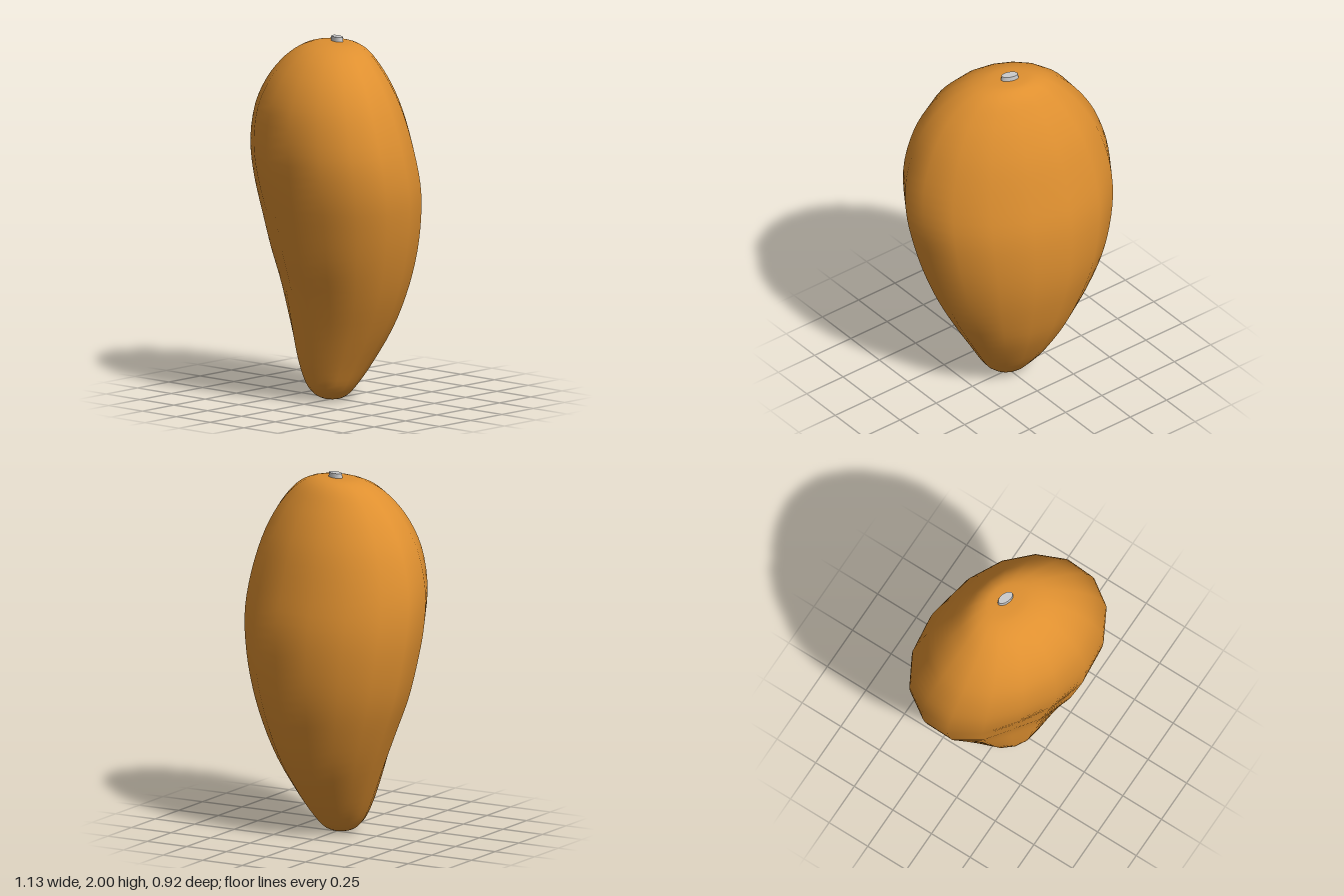
import * as THREE from 'three';

const TURN = THREE.MathUtils.degToRad(19); // long axis turned from +x towards +z
const SIDES = 16;
const ROWS = 54;
const FACET = 1.014; // makes up for the width lost between the sides

// Cross-sections from tip to crown: y, half width in x, half depth in z, centre x, centre z
const SECTIONS = [
  [0.005, 0, 0, -0.005, 0.025],
  [0.012, 0.055, 0.05, -0.006, 0.025],
  [0.035, 0.1, 0.092, -0.008, 0.025],
  [0.09, 0.148, 0.138, -0.008, 0.02],
  [0.2, 0.212, 0.197, -0.005, -0.003],
  [0.4, 0.318, 0.278, 0.005, -0.033],
  [0.6, 0.412, 0.342, 0.008, -0.04],
  [0.8, 0.488, 0.398, 0.003, -0.033],
  [1.0, 0.538, 0.43, 0.002, -0.02],
  [1.2, 0.565, 0.445, 0, 0.002],
  [1.4, 0.553, 0.43, -0.005, 0.028],
  [1.6, 0.495, 0.388, -0.007, 0.042],
  [1.75, 0.415, 0.326, -0.003, 0.045],
  [1.86, 0.323, 0.254, 0, 0.037],
  [1.93, 0.235, 0.185, 0, 0.02],
  [1.965, 0.15, 0.118, 0, 0.003],
  [1.974, 0.075, 0.06, 0, -0.006],
  [1.975, 0, 0, 0, -0.01],
];

// Fruit skin: turned ellipses stacked along the sections, with a shallow hollow on one side
function fruitGeometry() {
  const size = new THREE.CatmullRomCurve3(
    SECTIONS.map(([y, w, d]) => new THREE.Vector3(w, y, d)), false, 'catmullrom', 0.5);
  const centre = new THREE.CatmullRomCurve3(
    SECTIONS.map(([y, , , x, z]) => new THREE.Vector3(x, y, z)), false, 'catmullrom', 0.5);
  const positions = [];
  const index = [];
  const c = Math.cos(TURN), s = Math.sin(TURN);

  for (let r = 1; r < ROWS; r++) {
    const half = size.getPoint(r / ROWS);
    const mid = centre.getPoint(r / ROWS);
    const mean = (half.x ** 2 + half.z ** 2) / 2;
    const diff = (half.x ** 2 - half.z ** 2) / 2 / Math.cos(2 * TURN);
    const a = FACET * Math.sqrt(mean + diff), b = FACET * Math.sqrt(mean - diff);
    const rise = half.y - 0.75;
    const hollow = 0.17 * Math.exp(-((rise / (rise < 0 ? 0.4 : 0.6)) ** 2));
    for (let i = 0; i < SIDES; i++) {
      const t = (i / SIDES) * Math.PI * 2;
      const off = (t - Math.PI * 0.615) / 0.56;
      const k = 1 - hollow * Math.exp(-off * off);
      const u = a * k * Math.cos(t), v = b * k * Math.sin(t);
      positions.push(mid.x + u * c - v * s, half.y, mid.z + u * s + v * c);
    }
  }
  const tip = positions.length / 3, crown = tip + 1;
  for (const p of [SECTIONS[0], SECTIONS[SECTIONS.length - 1]]) positions.push(p[3], p[0], p[4]);

  const last = (ROWS - 2) * SIDES;
  for (let i = 0; i < SIDES; i++) {
    const j = (i + 1) % SIDES;
    index.push(tip, i, j, crown, last + j, last + i);
    for (let r = 0; r < ROWS - 2; r++) {
      const lo = r * SIDES, hi = lo + SIDES;
      index.push(lo + i, hi + i, lo + j, lo + j, hi + i, hi + j);
    }
  }
  const geometry = new THREE.BufferGeometry();
  geometry.setAttribute('position', new THREE.Float32BufferAttribute(positions, 3));
  geometry.setIndex(index);
  geometry.computeVertexNormals();
  return geometry;
}

export function createModel() {
  const model = new THREE.Group();
  model.name = 'fruit';
  const skin = new THREE.MeshStandardMaterial({ name: 'orange skin', color: 0xdf9030 });
  const grey = new THREE.MeshStandardMaterial({ name: 'pale stem', color: 0xcccccc });

  const body = new THREE.Mesh(fruitGeometry(), skin);
  body.name = 'fruitBody';
  model.add(body);

  // Short oval stem on the crown
  const stem = new THREE.Mesh(new THREE.CylinderGeometry(0.046, 0.054, 0.05, SIDES), grey);
  stem.name = 'stem';
  stem.scale.z = 0.54;
  stem.rotation.y = -TURN;
  stem.position.set(0.002, 1.975, -0.011);
  model.add(stem);
  return model;
}
